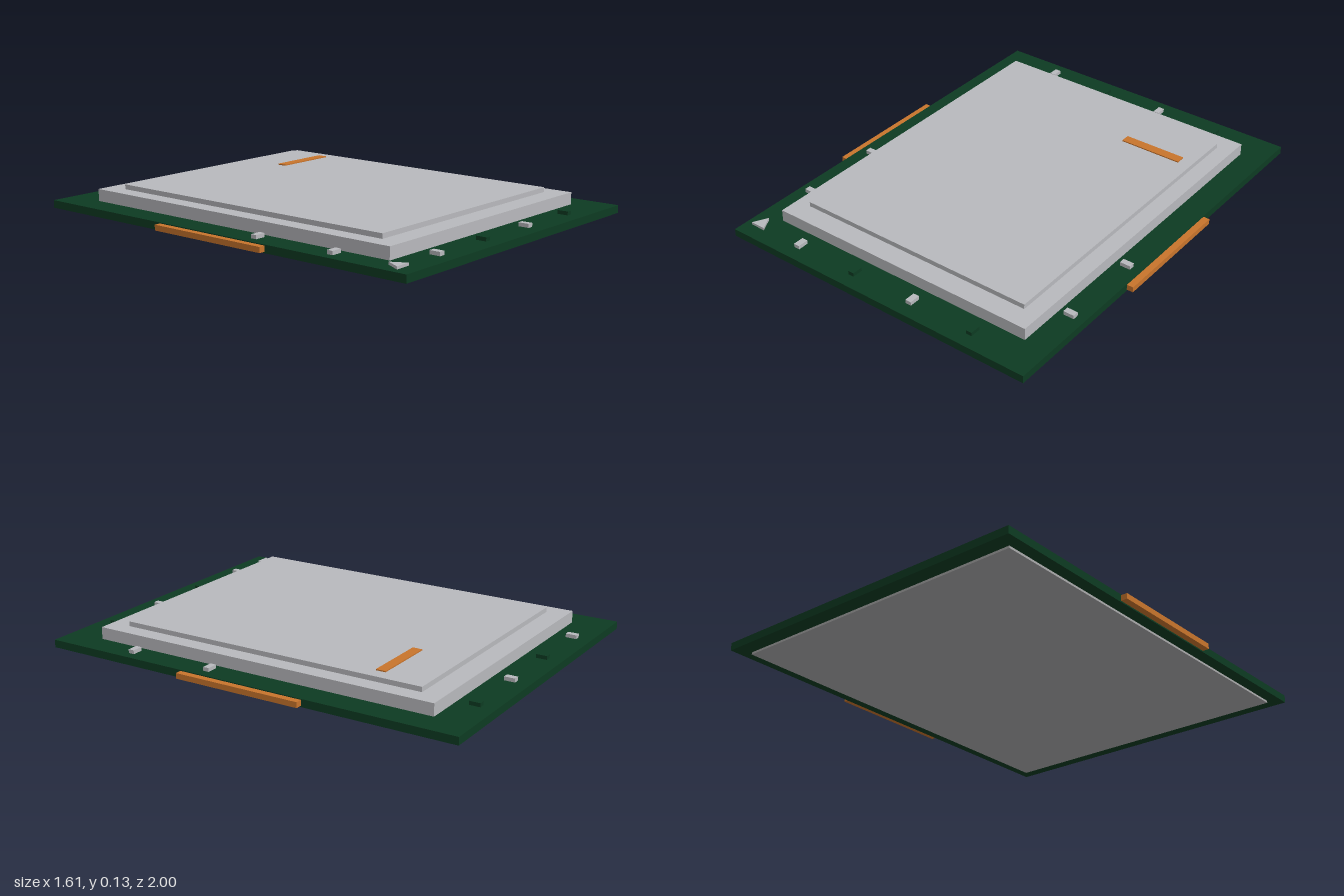
import * as THREE from 'three';

const material = (name, color) => {
  const m = new THREE.MeshStandardMaterial({ color });
  m.name = name;
  return m;
};

export function createModel() {
  const model = new THREE.Group();
  model.name = 'processorChip';

  const green = material('boardGreen', 0x0d3b22);
  const silver = material('silver', 0xb8b9bd);
  const grey = material('contactGrey', 0xa9a9aa);
  const copper = material('copper', 0xc8742c);

  // Box centred on (x, z), spanning y0 to y1
  const slab = (name, mat, w, d, y0, y1, x = 0, z = 0) => {
    const mesh = new THREE.Mesh(new THREE.BoxGeometry(w, y1 - y0, d), mat);
    mesh.position.set(x, (y0 + y1) / 2, z);
    mesh.name = name;
    model.add(mesh);
  };

  // Stacked plates
  const top = 0.045;
  slab('contactPlate', grey, 1.44, 1.86, 0, 0.012);
  slab('circuitBoard', green, 1.55, 2, 0.01, top);
  slab('heatSpreaderBase', silver, 1.31, 1.66, top, 0.1);
  slab('heatSpreaderTop', silver, 1.16, 1.47, 0.1, 0.122);
  slab('copperMark', copper, 0.3, 0.045, 0.122, 0.127, 0.37, -0.513);

  // Side tabs and side components
  for (const s of [-1, 1]) {
    slab('sideTab', copper, 0.03, 0.6, 0.016, 0.041, s * 0.79, 0);
    for (const z of [0.2, 0.6]) {
      slab('sideCapacitor', silver, 0.05, 0.028, top, 0.062, s * 0.707, z);
    }
    // Alternating components along the front and back edges
    [-0.467, -0.157, 0.153, 0.463].forEach((x, i) => {
      slab('edgeCapacitor', i % 2 ? green : silver, 0.028, 0.05, top, 0.062, x, s * 0.912);
    });
  }

  // Corner marker triangle, pointing to the back
  const shape = new THREE.Shape([
    new THREE.Vector2(-0.036, -0.033),
    new THREE.Vector2(0.036, -0.033),
    new THREE.Vector2(0, 0.033),
  ]);
  const marker = new THREE.Mesh(
    new THREE.ExtrudeGeometry(shape, { depth: 0.012, bevelEnabled: false }), silver);
  marker.rotation.x = -Math.PI / 2;
  marker.position.set(-0.706, top, 0.898);
  marker.name = 'cornerMarker';
  model.add(marker);

  return model;
}
